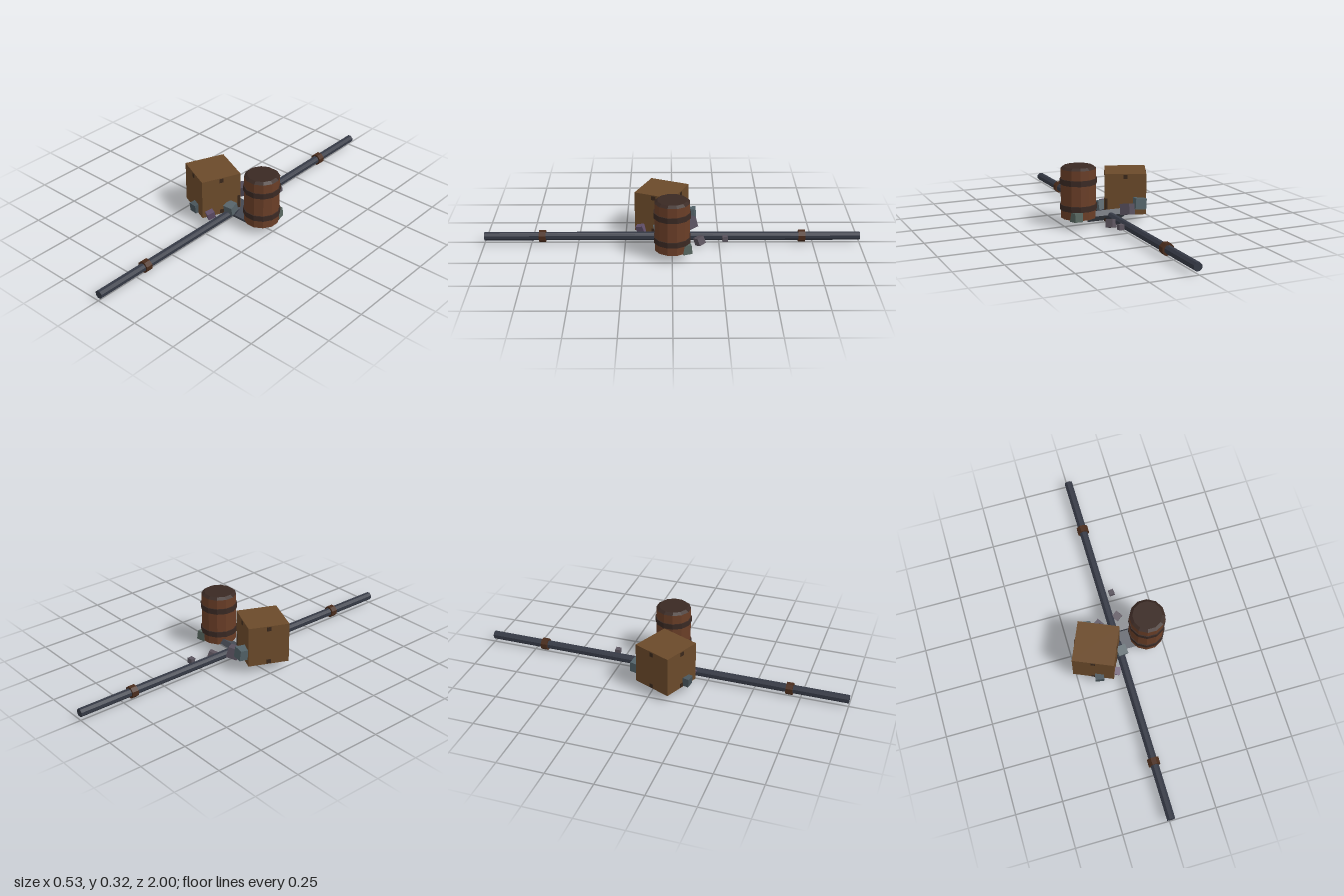
import * as THREE from 'three';

const material = (color) => new THREE.MeshStandardMaterial({ color, flatShading: true });
const iron = material(0x353945);
const slate = material(0x484d57);
const wood = material(0x6b4a2a);
const darkWood = material(0x3a281b);
const barrelWood = material(0x6a3e27);
const hoopMetal = material(0x3a2923);
const collarMetal = material(0x4a2c1c);

function add(parent, name, geometry, mat, x = 0, y = 0, z = 0) {
  const mesh = new THREE.Mesh(geometry, mat);
  mesh.name = name;
  mesh.position.set(x, y, z);
  parent.add(mesh);
  return mesh;
}

function group(parent, name, x, y, z) {
  const g = new THREE.Group();
  g.name = name;
  g.position.set(x, y, z);
  parent.add(g);
  return g;
}

// Long octagonal pole along z with two collars
function buildPole(parent) {
  const pole = group(parent, 'pole', 0.007, 0.04, 0);
  const rod = (r, length) =>
    new THREE.CylinderGeometry(r, r, length, 8).rotateY(Math.PI / 8).rotateX(Math.PI / 2);
  add(pole, 'poleShaft', rod(0.0225, 2), iron);
  for (const z of [-0.69, 0.69]) add(pole, 'poleCollar', rod(0.0325, 0.036), collarMetal, 0, 0, z);
}

// Tilted slab with a short upright pin through it
function buildBracket(parent) {
  const slab = add(parent, 'baseSlab', new THREE.BoxGeometry(0.194, 0.031, 0.1), slate, 0.008, 0.0385, -0.002);
  slab.rotation.x = Math.PI / 6;
  add(parent, 'pin', new THREE.CylinderGeometry(0.013, 0.013, 0.126, 8), darkWood, 0.009, 0.067, 0.004);
}

// Square crate with small clasps at the top and bottom of each side
function buildCrate(parent) {
  const crate = group(parent, 'crate', -0.123, 0.1515, 0.055);
  crate.rotation.y = THREE.MathUtils.degToRad(-23.5);
  add(crate, 'crateBody', new THREE.BoxGeometry(0.22, 0.219, 0.22), wood);
  for (let i = 0; i < 4; i++) {
    const side = group(crate, 'crateSide', 0, 0, 0);
    side.rotation.y = (i * Math.PI) / 2;
    for (const y of [-0.094, 0.094]) {
      add(side, 'clasp', new THREE.BoxGeometry(0.022, 0.022, 0.006), darkWood, 0, y, 0.11);
    }
  }
}

// Twelve-sided barrel with a bevelled lid and two hoops
function buildBarrel(parent) {
  const barrel = group(parent, 'barrel', 0.171, 0, 0);
  const cylinder = (top, bottom, height) => new THREE.CylinderGeometry(top, bottom, height, 12).rotateY(Math.PI / 12);
  add(barrel, 'barrelBody', cylinder(0.093, 0.093, 0.262), barrelWood, 0, 0.177, 0);
  add(barrel, 'barrelLid', cylinder(0.078, 0.094, 0.012), hoopMetal, 0, 0.314, 0);
  for (const y of [0.105, 0.242]) add(barrel, 'barrelHoop', cylinder(0.098, 0.098, 0.03), hoopMetal, 0, y, 0);
}

// Loose tumbled blocks: [x, y, z, size, rx, ry, rz, colour]
const blocks = [
  [-0.138, 0.072, 0.172, 0.047, 0.1, -0.15, 0.03, 0x48545a],
  [-0.045, 0.062, 0.165, 0.042, 0.3, -0.4, -0.08, 0x62506a],
  [0.014, 0.078, 0.068, 0.052, 0.25, 0.1, -0.05, 0x57646a],
  [0.213, 0.064, -0.074, 0.048, 0.1, 0.2, 0.05, 0x57665f],
  [-0.138, 0.108, -0.097, 0.058, 0.1, -0.15, 0.1, 0x526268],
  [-0.068, 0.083, -0.095, 0.058, 0.2, 0.6, 0.1, 0x564f5c],
  [0.05, 0.032, -0.145, 0.042, 0.25, 0.65, 0.15, 0x5a525c],
  [0.057, 0.047, -0.28, 0.028, 0.05, 0.1, 0.05, 0x5a545e],
];

export function createModel() {
  const model = new THREE.Group();
  model.name = 'poleWithCrateAndBarrel';
  buildPole(model);
  buildBracket(model);
  buildCrate(model);
  buildBarrel(model);
  const rubble = group(model, 'rubble', 0, 0, 0);
  for (const [x, y, z, size, rx, ry, rz, color] of blocks) {
    const block = add(rubble, 'rubbleBlock', new THREE.BoxGeometry(size, size, size), material(color), x, y, z);
    block.rotation.set(rx, ry, rz);
  }
  return model;
}
